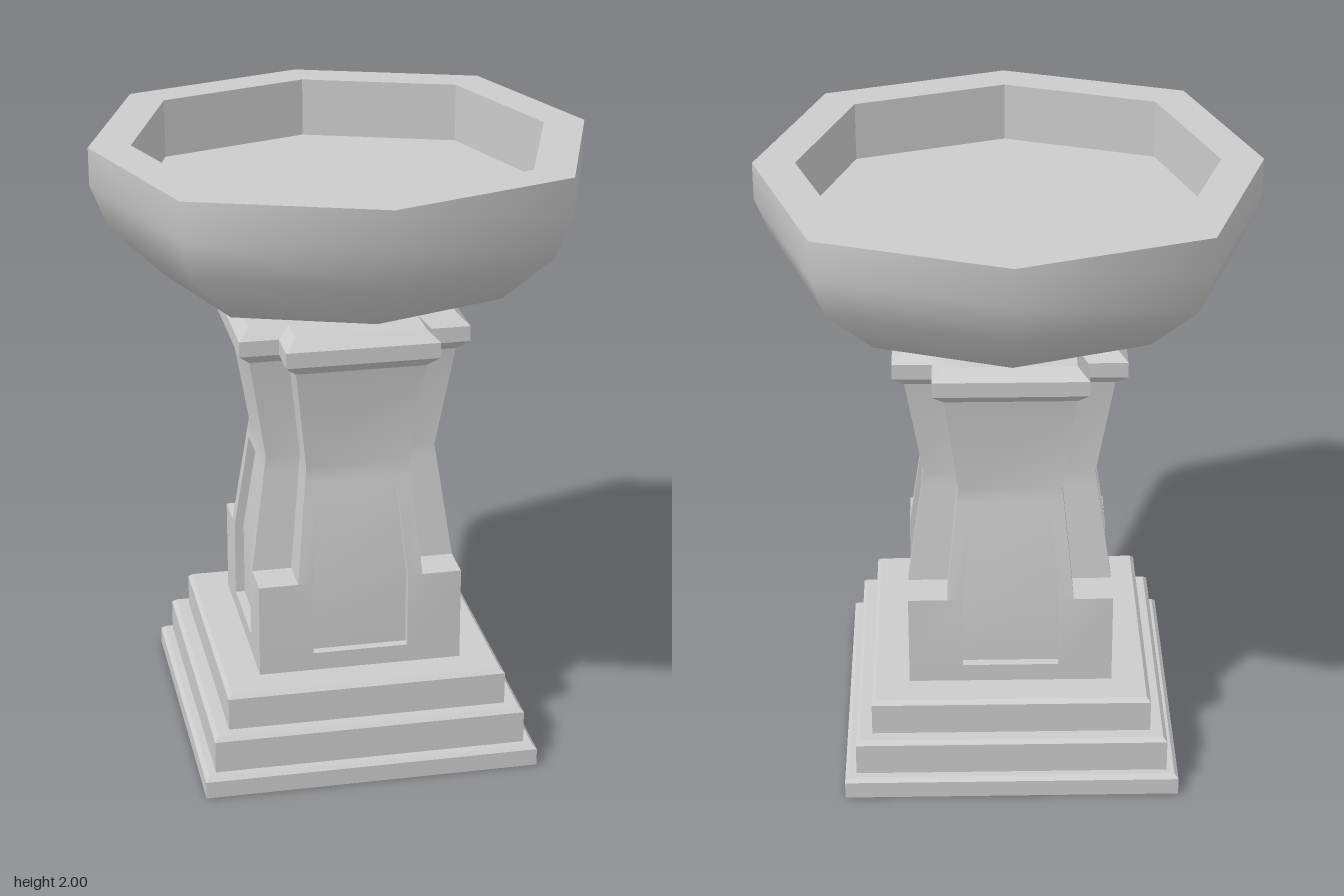
import * as THREE from 'three';
import { toCreasedNormals } from 'three/addons/utils/BufferGeometryUtils.js';

const material = new THREE.MeshStandardMaterial({ color: 0xcccccc, side: THREE.DoubleSide });

// Collects quads (counter-clockwise corners) into one surface
function surface() {
  const pos = [];
  return {
    quad(a, b, c, d) { for (const p of [a, b, c, a, c, d]) pos.push(...p); },
    mesh(name, crease) {
      const g = new THREE.BufferGeometry();
      g.setAttribute('position', new THREE.Float32BufferAttribute(pos, 3));
      const m = new THREE.Mesh(toCreasedNormals(g, crease), material);
      m.name = name;
      return m;
    },
  };
}

// Joins rings of equal point count, from bottom to top
function loft(name, rings, crease = 0.6) {
  const s = surface();
  for (let i = 0; i + 1 < rings.length; i++) {
    const lo = rings[i], hi = rings[i + 1], n = lo.length;
    for (let j = 0; j < n; j++) {
      const k = (j + 1) % n;
      s.quad(lo[j], hi[j], hi[k], lo[k]);
    }
  }
  return s.mesh(name, crease);
}

// Repeats a corner pattern of [x, z] points four times around the axis
function ring(pattern, y) {
  const out = [];
  let pts = pattern;
  for (let q = 0; q < 4; q++) {
    for (const [x, z] of pts) out.push([x, y, z]);
    pts = pts.map(([x, z]) => [-z, x]);
  }
  return out;
}
const square = (r, y) => ring([[r, r]], y);
const cross = (d, w, y) => ring([[d, -w], [d, w], [w, w]], y);
const octagon = (r, y) => ring([[r, 0], [r * 0.745, r * 0.745]], y);

// Piecewise linear lookup
function along(keys, y) {
  for (let i = 0; i + 1 < keys.length; i++) {
    const [y0, v0] = keys[i], [y1, v1] = keys[i + 1];
    if (y <= y1) return v0 + (v1 - v0) * (y - y0) / (y1 - y0);
  }
  return keys[keys.length - 1][1];
}

// Waisted column: square foot, cross-shaped shaft, a recessed panel on each side
function column() {
  const s = surface();
  const depth = (y) => along([[0.31, 0.33], [0.62, 0.33], [1.0, 0.275], [1.34, 0.33]], y);
  const arm = (y) => along([[0.62, 0.203], [1.0, 0.165], [1.34, 0.205]], y);
  const panel = (y) => along([[0.37, 0.155], [0.62, 0.155], [0.95, 0.125]], y);
  const inset = 0.03;
  for (let side = 0; side < 4; side++) {
    const turn = ([x, y, z]) => {
      for (let i = 0; i < side; i++) [x, z] = [z, -x];
      return [x, y, z];
    };
    const quad = (...p) => s.quad(...p.map(turn));
    const mirrored = (...p) => {
      quad(...p);
      quad(...p.map(([x, y, z]) => [-x, y, z]).reverse());
    };
    const at = (x, y, back = 0) => [x, y, depth(y) - back];
    const rows = [0.31, 0.37, 0.62, 0.95, 1.0, 1.34];
    for (let i = 0; i + 1 < rows.length; i++) {
      const a = rows[i], b = rows[i + 1];
      const foot = b <= 0.62;
      const wa = foot ? 0.33 : arm(a), wb = foot ? 0.33 : arm(b);
      if (i === 1 || i === 2) {
        const pa = panel(a), pb = panel(b);
        mirrored(at(pa, a), at(wa, a), at(wb, b), at(pb, b));
        mirrored(at(-pa, a), at(-pa, a, inset), at(-pb, b, inset), at(-pb, b));
        quad(at(-pa, a, inset), at(pa, a, inset), at(pb, b, inset), at(-pb, b, inset));
      } else {
        quad(at(-wa, a), at(wa, a), at(wb, b), at(-wb, b));
      }
      // Notch walls between the arms
      if (!foot) mirrored(at(wa, a), [wa, a, wa], [wb, b, wb], at(wb, b));
    }
    // Panel sill and header
    const p0 = panel(0.37), p1 = panel(0.95);
    quad(at(-p0, 0.37), at(p0, 0.37), at(p0, 0.37, inset), at(-p0, 0.37, inset));
    quad(at(-p1, 0.95, inset), at(p1, 0.95, inset), at(p1, 0.95), at(-p1, 0.95));
    // Corner ledge on top of the foot
    const w = arm(0.62), d = 0.33;
    quad([w, 0.62, d], [d, 0.62, d], [d, 0.62, w], [w, 0.62, w]);
  }
  return s.mesh('column', 0.6);
}

export function createModel() {
  const group = new THREE.Group();

  // Stepped square plinth, open underneath
  const plinth = [];
  for (const [r, y0, y1] of [[0.542, 0, 0.07], [0.505, 0.07, 0.19], [0.452, 0.19, 0.31]]) {
    plinth.push(square(r, y0), square(r, y1 - 0.013), square(r - 0.013, y1));
  }
  plinth.push(square(0.33, 0.31));
  group.add(loft('steppedBase', plinth));

  group.add(column());

  // Bevelled cross-shaped cap
  group.add(loft('cap', [
    cross(0.33, 0.205, 1.34), cross(0.367, 0.242, 1.375), cross(0.367, 0.242, 1.425),
    cross(0.33, 0.205, 1.46), cross(0, 0, 1.46),
  ]));

  // Eight-sided bowl, smooth outside
  group.add(loft('bowl', [[0, 1.46], [0.2, 1.46], [0.56, 1.575], [0.73, 1.74], [0.785, 1.88], [0.785, 2]]
    .map(([r, y]) => octagon(r, y)), 1.2));

  // Flat rim, straight inner wall and floor
  group.add(loft('basin', [[0.785, 2], [0.653, 2], [0.653, 1.81], [0, 1.81]]
    .map(([r, y]) => octagon(r, y))));

  return group;
}
